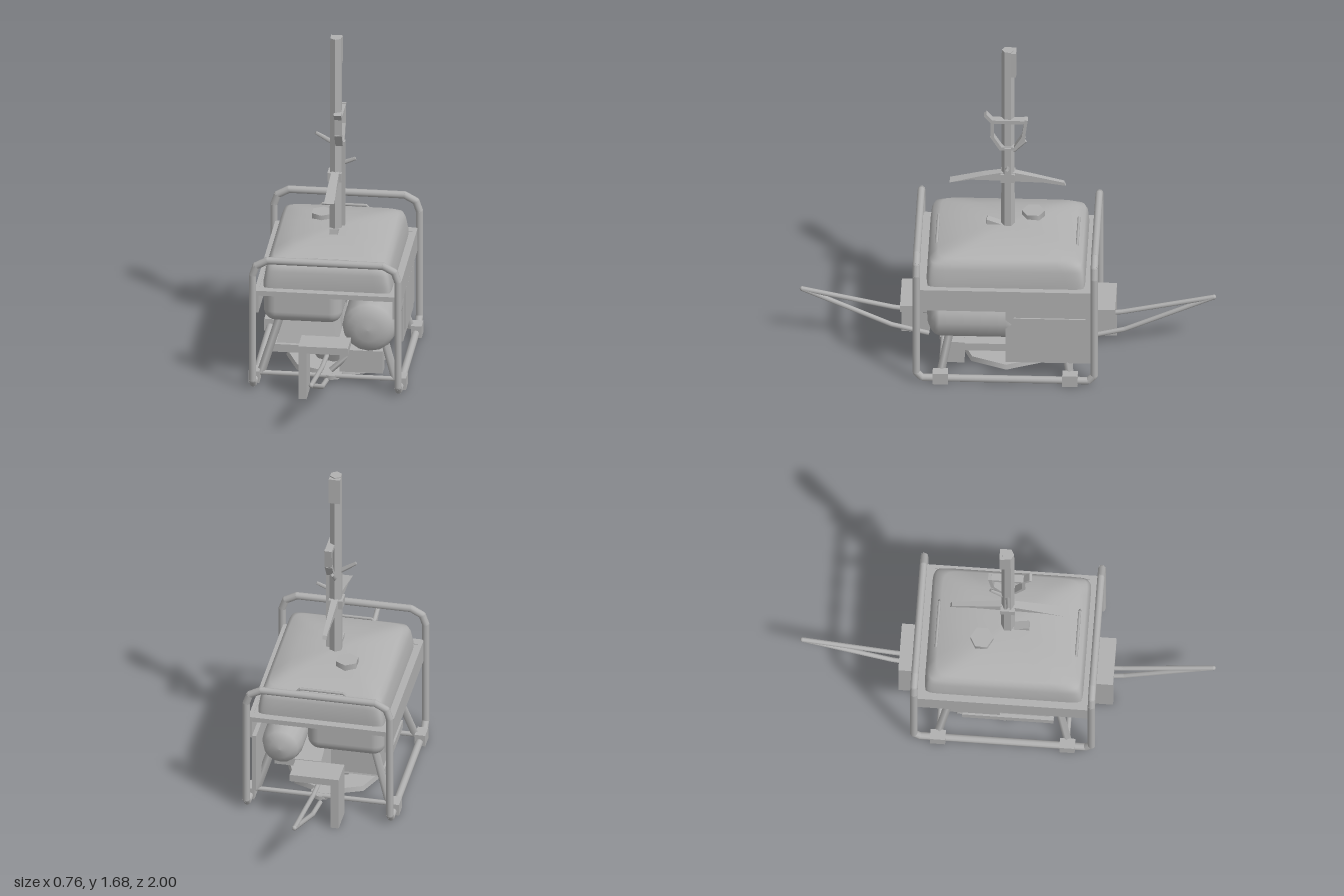
import * as THREE from 'three';
import { RoundedBoxGeometry } from 'three/addons/geometries/RoundedBoxGeometry.js';

export function createModel() {
  const root = new THREE.Group();
  const grey = new THREE.MeshStandardMaterial({ color: 0xb0b0b0 });
  grey.name = 'plain grey';

  const add = (name, geo, x = 0, y = 0, z = 0) => {
    const m = new THREE.Mesh(geo, grey);
    m.name = name;
    m.position.set(x, y, z);
    root.add(m);
    return m;
  };
  // box from its limits on each axis
  const box = (name, x0, x1, y0, y1, z0, z1) =>
    add(name, new THREE.BoxGeometry(x1 - x0, y1 - y0, z1 - z0), (x0 + x1) / 2, (y0 + y1) / 2, (z0 + z1) / 2);
  // straight bar between two points; four sides give a square strut
  const bar = (name, a, b, r, sides = 10, r2 = r) => {
    const p = new THREE.Vector3(...a), q = new THREE.Vector3(...b);
    const d = q.clone().sub(p);
    const m = add(name, new THREE.CylinderGeometry(r2, r, d.length(), sides));
    m.position.copy(p).add(q).multiplyScalar(0.5);
    m.quaternion.setFromUnitVectors(new THREE.Vector3(0, 1, 0), d.normalize());
    return m;
  };
  // bent pipe with rounded joints
  const pipe = (name, pts, r, sides = 10) => {
    for (let i = 0; i < pts.length - 1; i++) {
      bar(name, pts[i], pts[i + 1], r, sides);
      if (i) add(name + 'Joint', new THREE.SphereGeometry(r, sides, 6), ...pts[i]);
    }
  };
  // flat outline in (z, y), thick along x
  const sideShape = (name, pts, x0, x1) => {
    const s = new THREE.Shape(pts.map(([z, y]) => new THREE.Vector2(-z, y)));
    const g = new THREE.ExtrudeGeometry(s, { depth: x1 - x0, bevelEnabled: false });
    g.rotateY(Math.PI / 2);
    return add(name, g, x0, 0, 0);
  };

  // tubular frame: two hoops joined by bottom rails
  for (const s of [1, -1]) {
    const z = 0.428 * s;
    pipe('frameHoop', [
      [-0.352, 0.02, 0.4 * s], [-0.352, 0.05, z], [-0.352, 0.6, z], [-0.335, 0.65, z], [-0.28, 0.68, z],
      [0.28, 0.68, z], [0.335, 0.65, z], [0.352, 0.6, z], [0.352, 0.05, z], [0.352, 0.02, 0.4 * s],
    ], 0.018);
    bar('bottomRail', [0.352 * s, 0.02, -0.4], [0.352 * s, 0.02, 0.4], 0.018);
    bar('crossBar', [-0.33, 0.04, 0.31 * s], [0.33, 0.04, 0.31 * s], 0.012, 8);
    // tank surround
    box('tankSurroundEnd', -0.335, 0.335, 0.49, 0.515, s > 0 ? 0.375 : -0.42, s > 0 ? 0.42 : -0.375);
    box('sidePanel', s > 0 ? 0.325 : -0.345, s > 0 ? 0.345 : -0.325, 0.4, 0.515, -0.42, 0.42);
    box('tankSurroundSide', s > 0 ? 0.3 : -0.335, s > 0 ? 0.335 : -0.3, 0.495, 0.512, -0.4, 0.4);
    // feet and leaning struts
    for (const t of [1, -1]) {
      box('foot', 0.355 * s - 0.026, 0.355 * s + 0.026, 0, 0.06, 0.312 * t - 0.037, 0.312 * t + 0.037);
      bar('leaningStrut', [0.325 * s, 0.04, 0.31 * t], [0.22 * s, 0.38, 0.24 * t], 0.02, 4);
    }
    // small grab handle lying on the tank
    const h = 0.338 * s;
    pipe('tankHandle', [[-0.125, 0.635, h], [-0.105, 0.655, h], [0.105, 0.655, h], [0.125, 0.635, h]], 0.007, 6);
    // step bracket and pull bar at each end
    const lo = s > 0 ? 0.38 : -0.52, hi = s > 0 ? 0.515 : -0.38;
    box('stepTop', -0.12, 0.12, 0.24, 0.276, lo, hi);
    box('stepLeg', -0.12, -0.08, 0, 0.24, lo, hi);
    pipe('pullBar', [
      [0, 0.17, 0.37 * s], [0, 0.19, 0.55 * s], [0, 0.285, 0.99 * s],
      [0, 0.09, 0.56 * s], [0, 0.045, 0.38 * s],
    ], 0.012, 8);
    add('pullBarCollar', new THREE.CylinderGeometry(0.05, 0.05, 0.02, 8), 0.015, 0.035, 0.28 * s);
  }
  bar('engineLever', [0.01, 0.06, 0.29], [0.09, 0.13, 0.27], 0.014, 4);

  // domed fuel tank from rounded-rectangle rings
  const rings = [
    [0.31, 0.38, 0.49, 22], [0.31, 0.382, 0.54, 22], [0.3, 0.376, 0.6, 20], [0.29, 0.365, 0.63, 16],
    [0.27, 0.33, 0.65, 12], [0.19, 0.22, 0.673, 8], [0.1, 0.12, 0.686, 6], [0.0005, 0.0005, 0.689, 2],
  ];
  const N = 64, pos = [], idx = [];
  rings.forEach(([a, b, y, power], k) => {
    const e = 2 / power;
    for (let i = 0; i < N; i++) {
      const t = ((i + 0.5) / N) * Math.PI * 2, c = Math.cos(t), s = Math.sin(t);
      pos.push(a * Math.sign(c) * Math.abs(c) ** e, y, b * Math.sign(s) * Math.abs(s) ** e);
      if (k) {
        const j = (i + 1) % N, p = (k - 1) * N, q = k * N;
        idx.push(p + i, q + i, p + j, p + j, q + i, q + j);
      }
    }
  });
  const tank = new THREE.BufferGeometry();
  tank.setAttribute('position', new THREE.Float32BufferAttribute(pos, 3));
  tank.setIndex(idx);
  tank.computeVertexNormals();
  add('fuelTank', tank);
  box('tankFloor', -0.3, 0.3, 0.488, 0.496, -0.37, 0.37);
  add('fuelCap', new THREE.CylinderGeometry(0.056, 0.056, 0.04, 6), -0.08, 0.69, -0.12);

  // rounded engine cover, block and mounts
  add('engineCover', new RoundedBoxGeometry(0.38, 0.2, 0.76, 4, 0.06), -0.12, 0.43, 0);
  const block = new THREE.CylinderGeometry(0.155, 0.215, 0.21, 4, 1).toNonIndexed();
  block.rotateY(Math.PI / 4);
  block.scale(1, 1, 1.5);
  block.computeVertexNormals();
  add('engineBlock', block, -0.115, 0.235, 0);
  box('mountPlate', -0.28, 0.26, 0.12, 0.16, -0.2, 0.24);
  box('engineSide', -0.27, -0.03, 0.16, 0.35, -0.26, -0.02);
  box('mountBlock', 0.05, 0.26, 0.05, 0.165, 0.2, 0.28);

  // alternator housing running front to back
  const profile = [[0, -0.375], [0.05, -0.368], [0.085, -0.345], [0.1, -0.3], [0.1, -0.05], [0.125, -0.03],
    [0.13, 0], [0.13, 0.32], [0.122, 0.34], [0.1, 0.362], [0.06, 0.377], [0, 0.383]];
  const alt = new THREE.LatheGeometry(profile.map(([r, z]) => new THREE.Vector2(r, z)), 16);
  alt.rotateX(Math.PI / 2);
  add('alternator', alt, 0.2, 0.315, 0);
  bar('alternatorStay', [0.2, 0.4, 0.1], [0.15, 0.5, 0.1], 0.02, 4);

  // thin control panel with raised face
  box('controlPanel', 0.305, 0.325, 0.1, 0.41, -0.42, 0);
  box('controlFace', 0.325, 0.333, 0.145, 0.355, -0.385, -0.04);

  // octagonal base and its tapered pedestal
  add('basePlate', new THREE.CylinderGeometry(0.235, 0.24, 0.025, 8), 0, 0.0125, 0);
  add('pedestal', new THREE.CylinderGeometry(0.15, 0.11, 0.1, 8), 0, 0.075, 0);

  // hexagonal pole
  const pole = new THREE.CylinderGeometry(0.03, 0.035, 1.66, 6).toNonIndexed();
  pole.computeVertexNormals();
  add('pole', pole, 0, 0.85, 0);
  box('poleTopPlate', -0.028, 0.028, 1.54, 1.675, -0.04, -0.015);
  box('poleSpine', 0.015, 0.045, 0.7, 1.14, -0.015, 0.015);
  box('poleCollar', -0.038, 0.03, 0.935, 0.98, -0.035, 0.035);
  sideShape('poleWedge', [[0.02, 0.67], [0.105, 0.69], [0.1, 0.715], [0.02, 0.685]], -0.02, 0.02);

  // curved cross blade, narrowing towards the back
  const blade = sideShape('crossBlade', [
    [0.28, 0.928], [0.18, 0.945], [0.04, 0.94], [-0.04, 0.935], [-0.17, 0.93], [-0.278, 0.912],
    [-0.27, 0.93], [-0.12, 0.965], [-0.03, 0.985], [0.03, 0.985], [0.12, 0.968],
  ], -0.025, 0.025);
  blade.geometry.translate(-0.025, 0, 0);
  blade.position.x = 0;
  const bp = blade.geometry.attributes.position;
  for (let i = 0; i < bp.count; i++) bp.setX(i, bp.getX(i) * (0.7 + bp.getZ(i) * 1.1));
  blade.geometry.computeVertexNormals();

  // forked yoke
  const yoke = [[0.105, 1.32], [0.075, 1.285], [0.075, 1.2], [0.035, 1.135], [-0.035, 1.135], [-0.075, 1.2], [-0.088, 1.295]];
  yoke.slice(1).forEach(([z, y], i) => {
    const [z0, y0] = yoke[i];
    const l = Math.hypot(z - z0, y - y0);
    const m = add('yoke', new THREE.BoxGeometry(0.036, 0.016, l + 0.01), 0.02, (y + y0) / 2, (z + z0) / 2);
    m.rotation.x = -Math.atan2(y - y0, z - z0);
  });
  box('yokeBar', 0.002, 0.038, 1.277, 1.296, -0.09, 0.08);

  // short tapered pegs
  bar('peg', [0, 1.12, 0], [-0.097, 1.18, 0.01], 0.014, 4, 0.009);
  bar('peg', [0, 1.01, 0], [0.095, 1.05, 0], 0.014, 4, 0.009);
  bar('peg', [0, 1.09, -0.01], [0, 1.16, -0.085], 0.014, 4, 0.009);
  return root;
}
